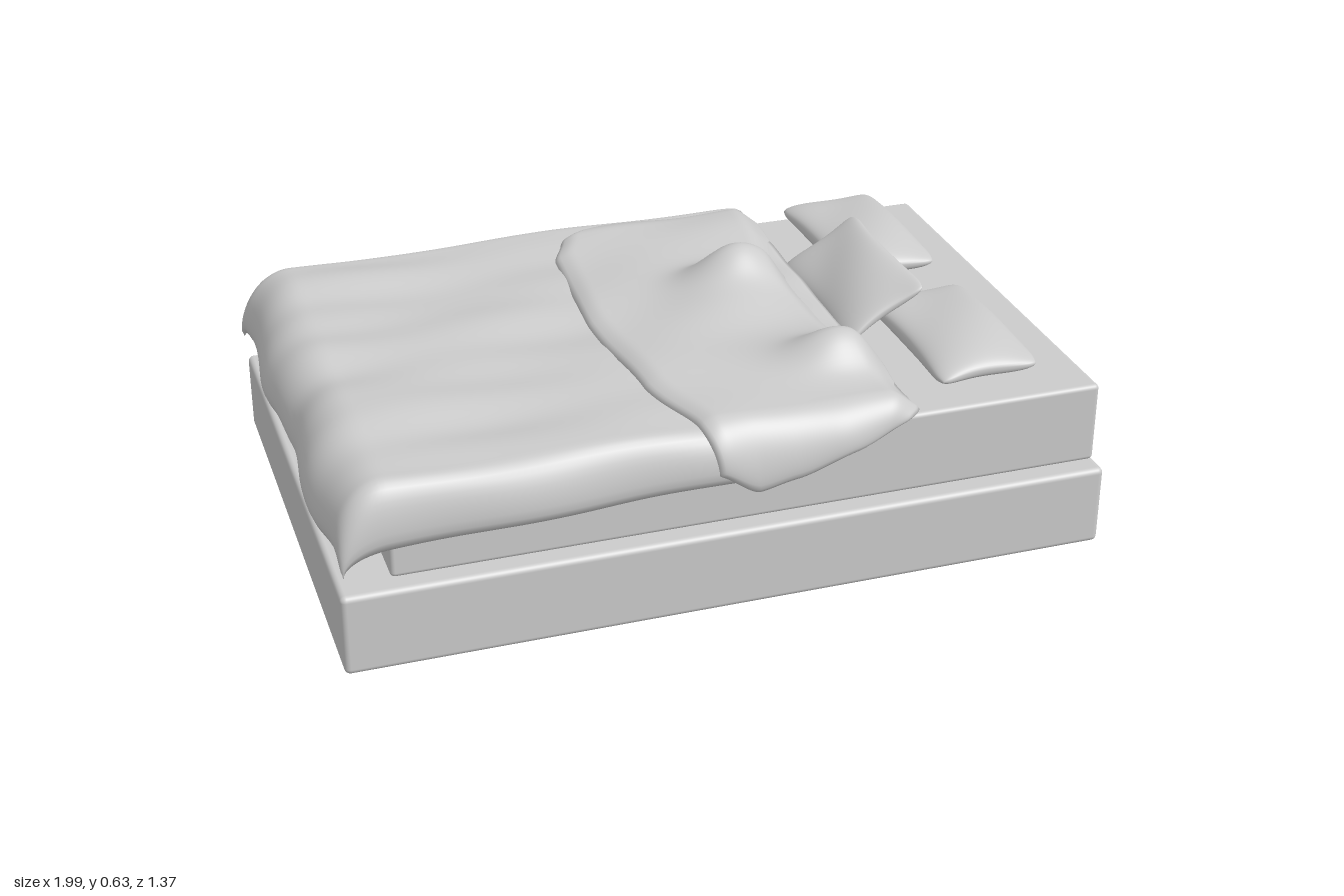
import * as THREE from 'three';
import { mergeVertices } from 'three/addons/utils/BufferGeometryUtils.js';
import { RoundedBoxGeometry } from 'three/addons/geometries/RoundedBoxGeometry.js';

const material = new THREE.MeshStandardMaterial({ color: 0xcccccc, side: THREE.DoubleSide });
const { sin, cos, PI, abs, max, min, exp, pow } = Math;

function addMesh(parent, name, geometry) {
  const mesh = new THREE.Mesh(geometry, material);
  mesh.name = name;
  parent.add(mesh);
  return mesh;
}

// Smoothly eased lookup in a short table of [key, value] pairs
function lookup(table, k) {
  if (k <= table[0][0]) return table[0][1];
  for (let i = 1; i < table.length; i++) {
    const [k0, v0] = table[i - 1], [k1, v1] = table[i];
    if (k <= k1) return THREE.MathUtils.lerp(v0, v1, THREE.MathUtils.smoothstep(k, k0, k1) * 0.5 + (k - k0) / (k1 - k0) * 0.5);
  }
  return table[table.length - 1][1];
}

// Closed padded sheet: a middle surface pos(u, v) thickened both ways along its normal
function paddedSheet(nu, nv, pos, halfThickness) {
  const vertices = [], index = [], e = 1e-3, row = nv + 1;
  for (const side of [1, -1]) {
    const base = vertices.length / 3;
    for (let i = 0; i <= nu; i++) {
      for (let j = 0; j <= nv; j++) {
        const u = i / nu, v = j / nv;
        const du = pos(u + e, v).sub(pos(u - e, v)), dv = pos(u, v + e).sub(pos(u, v - e));
        const p = pos(u, v).addScaledVector(dv.cross(du).normalize(), side * halfThickness(u, v));
        vertices.push(p.x, p.y, p.z);
        if (i === nu || j === nv) continue;
        const a = base + i * row + j, b = a + 1, c = a + row, d = c + 1;
        if (side > 0) index.push(a, b, c, b, d, c);
        else index.push(a, c, b, b, c, d);
      }
    }
  }
  let geometry = new THREE.BufferGeometry();
  geometry.setAttribute('position', new THREE.Float32BufferAttribute(vertices, 3));
  geometry.setIndex(index);
  geometry = mergeVertices(geometry, 1e-5);
  geometry.computeVertexNormals();
  return geometry;
}

// Full thickness inside, rounding to nothing at the rim
const rim = (u, v) => Math.sqrt(max(0, (1 - pow(2 * u - 1, 24)) * (1 - pow(2 * v - 1, 24))));
const bump = (x, z, cx, cz, rx, rz) => exp(-pow((x - cx) / rx, 2) - pow((z - cz) / rz, 2));

// Duvet: flat on top, curving down over both long sides and the foot
const duvetHem = [[-0.85, 0.32], [-0.4, 0.335], [0, 0.35], [0.25, 0.38], [0.47, 0.43]];
function duvetPoint(u, v) {
  const foot = max(0, (0.14 - u) / 0.14) * PI / 2;
  let x = u > 0.14 ? THREE.MathUtils.mapLinear(u, 0.14, 1, -0.84, 0.47) : -0.84 - 0.13 * sin(foot);
  const w = 2 * v - 1, s = Math.sign(w);
  const t = max(0, (abs(w) - 0.82) / 0.18) * PI / 2;
  const footDrop = 0.17 * (1 - cos(foot));
  const top = 0.466 + 0.006 * (x + 0.84) - footDrop;
  const hem = min(lookup(duvetHem, x) - 0.055 * (1 - cos(foot)), top - 0.02);
  const flare = 0.055 - 0.03 * THREE.MathUtils.smoothstep(x, 0.2, 0.5);
  let z = min(abs(w), 0.82) / 0.82 * 0.6 * s + s * flare * sin(t) - 0.025;
  let y = top - (top - hem) * (1 - cos(t));
  // soft creases running from the foot, fading towards the hem
  const fade = cos(min(t, PI / 2));
  const strength = 0.4 + 0.6 * THREE.MathUtils.smoothstep(-x, 0, 0.8);
  y += fade * strength * (0.006 * sin(17 * z + 2.5 * sin(2.2 * x)) + 0.005 * sin(29 * z - 4 * x + 1) * sin(5 * x + 3 * z));
  y += fade * 0.004 * sin(9 * x + 4 * sin(3 * z));
  x += 0.012 * sin(foot) * sin(11 * z + 1);
  z += 0.006 * sin(t) * sin(12 * x + s);
  return new THREE.Vector3(x, y, z);
}

// Turned-back upper part: outline tables give its x limits across the bed
const foldFootEdge = [[0, 0.08], [0.02, -0.02], [0.06, -0.1], [0.13, -0.145], [0.4, -0.172], [0.65, -0.14], [0.8, -0.08], [1, -0.05]];
const foldHeadEdge = [[0, 0.49], [0.15, 0.48], [0.28, 0.44], [0.36, 0.4], [0.45, 0.43], [0.6, 0.45], [0.74, 0.48], [0.85, 0.49], [1, 0.46]];
const foldHem = [[-0.06, 0.4], [0.05, 0.335], [0.15, 0.355], [0.3, 0.4], [0.48, 0.455]];
function foldPoint(u, v) {
  const x = THREE.MathUtils.lerp(lookup(foldFootEdge, v), lookup(foldHeadEdge, v), u);
  const t = max(0, (v - 0.8) / 0.2) * PI / 2;
  let z = -0.615 + min(v, 0.8) / 0.8 * 1.2;
  // folds raised near the middle and the front corner, with a valley between
  let y = 0.502 + 0.095 * bump(x, z, 0.27, -0.1, 0.12, 0.085) + 0.045 * bump(x, z, 0.2, 0.02, 0.16, 0.16)
    + 0.07 * bump(x, z, 0.36, 0.4, 0.12, 0.075) + 0.02 * bump(x, z, 0.2, 0.33, 0.2, 0.12)
    + 0.015 * bump(x, z, 0.3, -0.45, 0.2, 0.12);
  y += 0.006 * sin(13 * x + 9 * z) * sin(7 * z - 3 * x);
  y -= 0.045 * THREE.MathUtils.smoothstep(u, 0.86, 1) + 0.012 * (1 - THREE.MathUtils.smoothstep(u, 0, 0.08));
  y -= 0.02 * (1 - THREE.MathUtils.smoothstep(v, 0, 0.06));
  const hem = lookup(foldHem, x);
  y = min(y, y - (y - hem) * (1 - cos(t)));
  z += (0.085 - 0.04 * THREE.MathUtils.smoothstep(x, 0.25, 0.5)) * sin(t);
  return new THREE.Vector3(x, y, z);
}

// Pillow: plump middle, drawn-in sides and slightly eared corners
function pillowGeometry(halfWidth, halfLength, halfHeight) {
  const map = (t) => sin((2 * t - 1) * PI / 2);
  return paddedSheet(32, 44, (u, v) => {
    const a = map(u), b = map(v);
    const x = a * halfWidth * (1 - 0.1 * (1 - b * b) - 0.1 * pow(b, 10));
    const z = b * halfLength * (1 - 0.05 * (1 - a * a) - 0.04 * pow(a, 10));
    const y = 0.006 * sin(9 * z + 1) + 0.005 * sin(20 * x + 12 * z);
    return new THREE.Vector3(x, y, z);
  }, (u, v) => {
    const a = map(u), b = map(v);
    return halfHeight * pow(max(0, (1 - a * a) * (1 - b * b)), 0.38);
  });
}

export function createModel() {
  const bed = new THREE.Group();
  bed.name = 'bed';

  // Base and mattress
  addMesh(bed, 'bedBase', new RoundedBoxGeometry(1.97, 0.215, 1.31, 4, 0.015)).position.set(0.015, 0.1075, -0.015);
  addMesh(bed, 'mattress', new RoundedBoxGeometry(1.83, 0.215, 1.215, 4, 0.012)).position.set(0.075, 0.3275, -0.0125);

  // Bedding
  addMesh(bed, 'duvet', paddedSheet(100, 120, duvetPoint, (u, v) => 0.014 * rim(u, v)));
  addMesh(bed, 'turnedBackFold', paddedSheet(70, 120, foldPoint, (u, v) => 0.013 * rim(u, v)));

  // Two pillows lying flat and one leaning against them
  const pillows = [
    ['backPillow', 0.715, 0.483, -0.35, 0.08, 0.14, 0.25, 0.046],
    ['frontPillow', 0.712, 0.483, 0.29, 0.08, 0.14, 0.25, 0.046],
    ['leaningPillow', 0.565, 0.518, -0.03, 0.6, 0.13, 0.25, 0.036],
  ];
  for (const [name, x, y, z, tilt, w, l, h] of pillows) {
    const pillow = addMesh(bed, name, pillowGeometry(w, l, h));
    pillow.position.set(x, y, z);
    pillow.rotation.z = tilt;
  }
  return bed;
}
